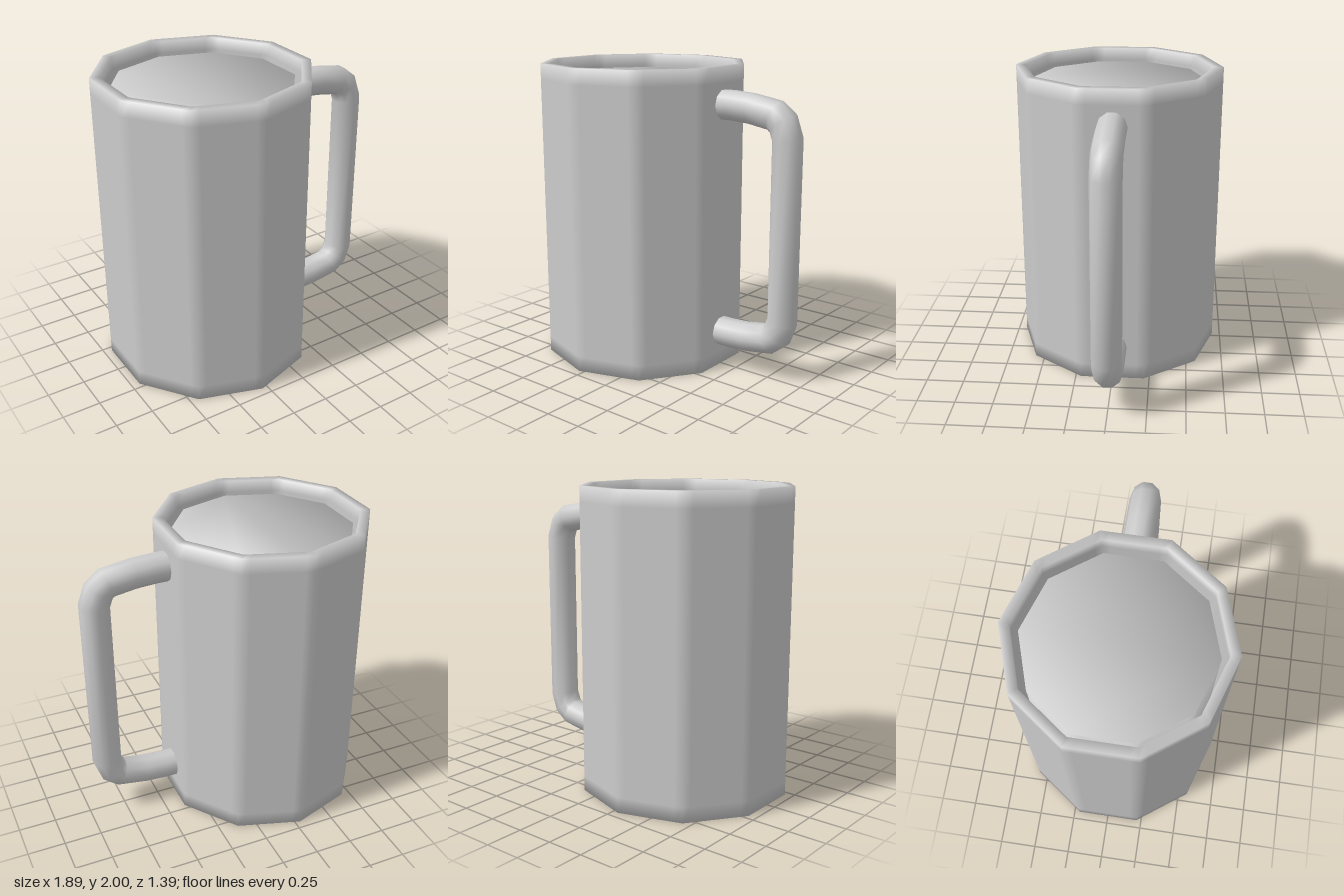
import * as THREE from 'three';

const SIDES = 10;
const CENTER_X = -0.285;
const material = new THREE.MeshStandardMaterial({ color: 0xcccccc });

function makeMesh(name, positions, normals, index) {
  const geometry = new THREE.BufferGeometry();
  geometry.setAttribute('position', new THREE.Float32BufferAttribute(positions.flat(), 3));
  geometry.setAttribute('normal', new THREE.Float32BufferAttribute(normals.flat(), 3));
  geometry.setIndex(index);
  const mesh = new THREE.Mesh(geometry, material);
  mesh.name = name;
  return mesh;
}

// Skin closed rings, each a list of [position, normal]
function loft(name, rings) {
  const n = rings[0].length;
  const index = [];
  for (let i = 0; i < rings.length - 1; i++) {
    for (let j = 0; j < n; j++) {
      const a = i * n + j, b = i * n + (j + 1) % n;
      index.push(a, a + n, b, b, a + n, b + n);
    }
  }
  const points = rings.flat();
  return makeMesh(name, points.map(p => p[0]), points.map(p => p[1]), index);
}

const cornerAngle = k => Math.PI / 2 + k * 2 * Math.PI / SIDES;

// Decagon outline; points close to each corner keep the panels flat and the corners soft
function decagonRing(radius, y, out, up) {
  const ring = [];
  const length = Math.hypot(out, up);
  const add = (x, z, angle) => ring.push([
    [x, y, z],
    [Math.cos(angle) * out / length, up / length, Math.sin(angle) * out / length],
  ]);
  for (let k = 0; k < SIDES; k++) {
    const a = cornerAngle(k), b = cornerAngle(k + 1), mid = (a + b) / 2;
    const p = [radius * Math.cos(a), radius * Math.sin(a)];
    const q = [radius * Math.cos(b), radius * Math.sin(b)];
    add(p[0], p[1], a);
    for (const t of [0.12, 0.88]) {
      add(p[0] + (q[0] - p[0]) * t, p[1] + (q[1] - p[1]) * t, mid);
    }
  }
  return ring;
}

// Flat decagon whose normals lean outward (or inward) at the edge
function cap(name, radius, y, up, out) {
  const positions = [], normals = [], index = [];
  for (let k = 0; k < SIDES; k++) {
    const c = Math.cos(cornerAngle(k)), s = Math.sin(cornerAngle(k));
    positions.push([radius * c, y, radius * s]);
    normals.push([c * out * Math.SQRT1_2, up * Math.SQRT1_2, s * out * Math.SQRT1_2]);
    if (k > 1) index.push(0, ...(up > 0 ? [k, k - 1] : [k - 1, k]));
  }
  return makeMesh(name, positions, normals, index);
}

function createHandle() {
  // Upper arm and bend; the lower half mirrors it
  const upper = [[0.345, 1.762], [0.45, 1.762], [0.59, 1.753], [0.76, 1.725], [0.817, 1.68], [0.851, 1.585]];
  const path = [...upper, ...upper.map(([x, y]) => [x, 2 - y]).reverse()]
    .map(([x, y]) => new THREE.Vector2(x, y));
  const radius = 0.097;
  const rings = path.map((p, i) => {
    const before = p.clone().sub(path[Math.max(i - 1, 0)]).normalize();
    const after = path[Math.min(i + 1, path.length - 1)].clone().sub(p).normalize();
    const t = before.clone().add(after).normalize();
    // Widen the ring across a bend so the tube keeps its thickness
    const miter = 1 / Math.max(t.dot(before), t.dot(after));
    return Array.from({ length: 10 }, (_, j) => {
      const angle = j * Math.PI / 5;
      const c = Math.cos(angle), s = Math.sin(angle), r = radius * s * miter;
      return [[p.x - t.y * r, p.y + t.x * r, c * radius], [-t.y * s, t.x * s, c]];
    });
  });
  return loft('handle', rings);
}

export function createModel() {
  const model = new THREE.Group();
  model.name = 'mug';

  // Outer wall, flat rim and inner wall as one smooth skin: radius, y, outward, upward
  const body = new THREE.Group();
  body.name = 'body';
  body.position.x = CENTER_X;
  body.add(loft('wall', [
    [0.695, 0, 1, -1],
    [0.695, 0.1, 1, 0],
    [0.695, 1.9, 1, 0],
    [0.695, 2, 1, 1],
    [0.632, 2, -1, 1],
    [0.632, 1.92, -1, 0],
    [0.632, 0.1, -1, 0],
  ].map(r => decagonRing(...r))));
  body.add(cap('base', 0.695, 0, -1, 1));
  body.add(cap('innerFloor', 0.632, 0.1, 1, -1));

  // Drink filling the mug almost to the rim
  const drink = new THREE.Group();
  drink.name = 'drink';
  drink.position.x = CENTER_X;
  drink.add(loft('drinkSide', [decagonRing(0.59, 0.1, 1, 0), decagonRing(0.59, 1.91, 1, 1)]));
  drink.add(cap('drinkSurface', 0.59, 1.91, 1, 1));

  model.add(body, drink, createHandle());
  return model;
}
